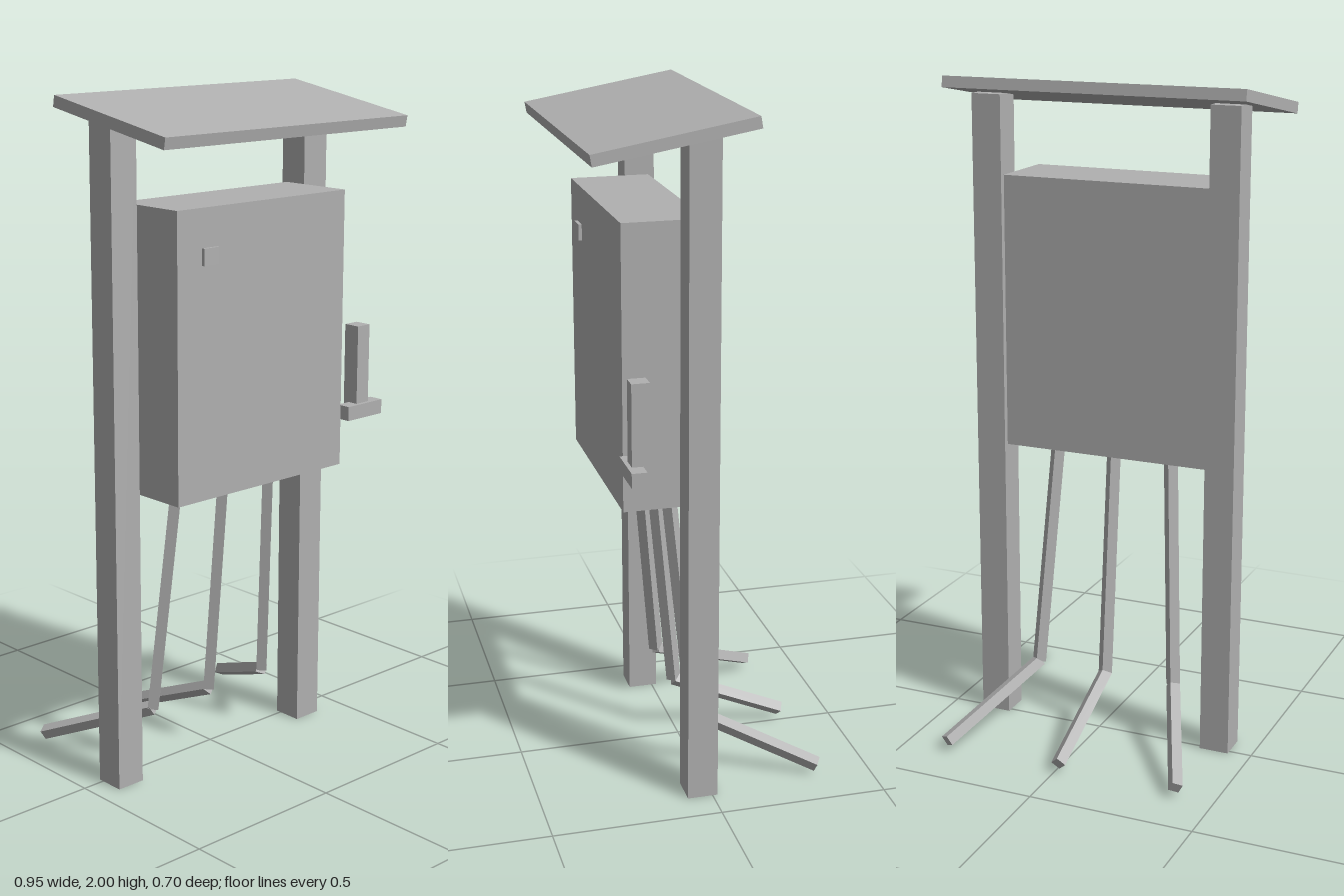
import * as THREE from 'three';

const CX = -0.015; // centre line of cabinet, posts and roof

export function createModel() {
  const model = new THREE.Group();
  const grey = new THREE.MeshStandardMaterial({ color: 0xb0b0b0 });
  grey.name = 'grey';

  // Box given by its limits on each axis
  const box = (name, [x0, x1], [y0, y1], [z0, z1]) => {
    const mesh = new THREE.Mesh(new THREE.BoxGeometry(x1 - x0, y1 - y0, z1 - z0), grey);
    mesh.position.set((x0 + x1) / 2, (y0 + y1) / 2, (z0 + z1) / 2);
    mesh.name = name;
    model.add(mesh);
    return mesh;
  };

  // Four-sided conduit between two points, set edge-on
  const conduit = (name, a, b, parent) => {
    const dir = b.clone().sub(a);
    const geometry = new THREE.CylinderGeometry(0.0225, 0.0225, dir.length(), 4).toNonIndexed();
    geometry.computeVertexNormals();
    const mesh = new THREE.Mesh(geometry, grey);
    mesh.position.copy(a).add(b).multiplyScalar(0.5);
    mesh.quaternion.setFromUnitVectors(new THREE.Vector3(0, 1, 0), dir.normalize());
    mesh.name = name;
    parent.add(mesh);
  };

  // Posts
  box('rightPost', [-0.43, -0.34], [0, 1.945], [-0.015, 0.075]);
  box('leftPost', [0.308, 0.4], [0, 1.945], [-0.015, 0.075]);

  // Sloping roof board
  const roof = box('roof', [-0.476, 0.446], [1.9285, 1.9615], [-0.111, 0.351]);
  roof.rotation.x = THREE.MathUtils.degToRad(10);

  // Cabinet with its small front knob
  box('cabinet', [-0.34, 0.308], [0.885, 1.71], [0.003, 0.24]);
  box('knob', [-0.25, -0.195], [1.552, 1.6], [0.23, 0.25]);

  // Side switch: upright lever and cross handle
  box('lever', [0.375, 0.425], [1.022, 1.297], [0.19, 0.242]);
  box('handle', [0.328, 0.473], [1.017, 1.06], [0.21, 0.254]);

  // Three bent conduits, the outer ones splayed
  for (const [name, side] of [['rightConduit', -1], ['middleConduit', 0], ['leftConduit', 1]]) {
    const group = new THREE.Group();
    group.name = name;
    const top = new THREE.Vector3(CX + side * 0.184, 0.9, 0.076);
    const bend = new THREE.Vector3(CX + side * 0.226, 0.183, 0.01);
    const end = new THREE.Vector3(CX + side * 0.372, 0.032, -0.338);
    conduit('dropPipe', bend, top, group);
    conduit('groundPipe', end, bend, group);
    model.add(group);
  }

  return model;
}
